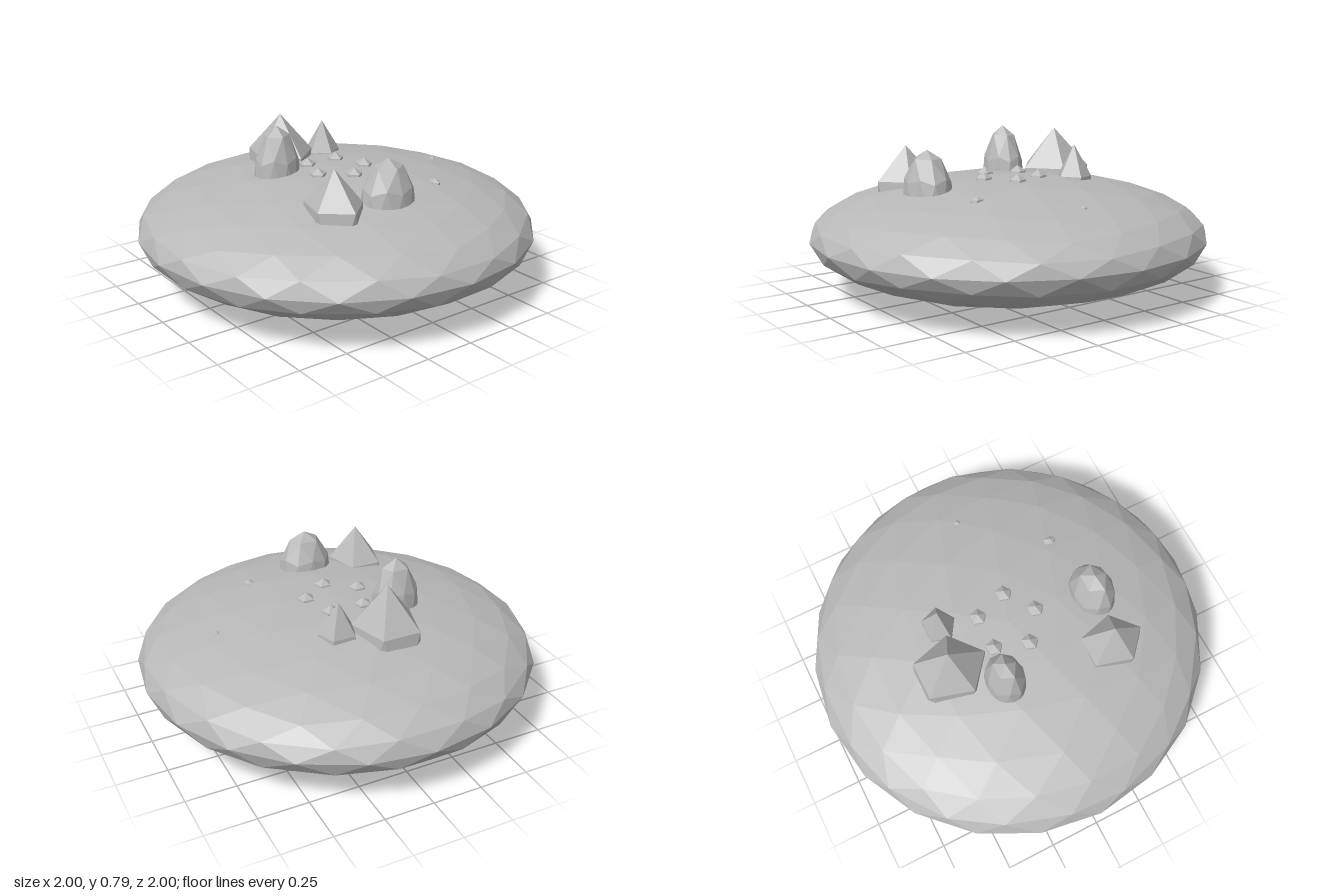
import * as THREE from 'three';

// Faceted sphere with a vertex on each pole; every level splits each triangle in four.
function icoSphere(levels) {
  const ring = (y, turn) => Array.from({ length: 5 }, (_, i) => {
    const a = (i * 72 + turn) * Math.PI / 180, r = Math.sqrt(0.8);
    return new THREE.Vector3(r * Math.cos(a), y, r * Math.sin(a));
  });
  const top = new THREE.Vector3(0, 1, 0), bottom = new THREE.Vector3(0, -1, 0);
  const upper = ring(Math.sqrt(0.2), 0), lower = ring(-Math.sqrt(0.2), 36);
  let faces = [];
  for (let i = 0; i < 5; i++) {
    const j = (i + 1) % 5;
    faces.push([top, upper[j], upper[i]], [upper[i], upper[j], lower[i]],
      [lower[i], upper[j], lower[j]], [bottom, lower[i], lower[j]]);
  }
  const mid = (a, b) => a.clone().add(b).normalize();
  for (let n = 0; n < levels; n++) {
    faces = faces.flatMap(([a, b, c]) => {
      const ab = mid(a, b), bc = mid(b, c), ca = mid(c, a);
      return [[a, ab, ca], [ab, b, bc], [ca, bc, c], [ab, bc, ca]];
    });
  }
  const geometry = new THREE.BufferGeometry().setFromPoints(faces.flat());
  geometry.computeVertexNormals();
  return geometry;
}

export function createModel() {
  const group = new THREE.Group();
  const stone = new THREE.MeshStandardMaterial({ color: 0xb8b8b8, flatShading: true });
  stone.name = 'grey stone';
  const crystal = icoSphere(0), boulder = icoSphere(1), mound = icoSphere(2);

  const add = (name, geometry, position, radii) => {
    const mesh = new THREE.Mesh(geometry, stone);
    mesh.name = name;
    mesh.position.set(...position);
    mesh.scale.set(...radii);
    group.add(mesh);
  };

  // Flattened ground
  add('ground', mound, [0, 0.285, 0], [1, 0.285, 1]);

  // Pointed rocks
  add('largePointedRock', crystal, [-0.36, 0.42, 0.09], [0.21, 0.36, 0.185]);
  add('smallPointedRock', crystal, [-0.31, 0.43, -0.14], [0.095, 0.29, 0.108]);
  add('frontPointedRock', crystal, [0.41, 0.41, 0.315], [0.18, 0.31, 0.15]);

  // Rounded boulders
  add('tallBoulder', boulder, [-0.145, 0.46, 0.255], [0.106, 0.33, 0.13]);
  add('wideBoulder', boulder, [0.452, 0.45, 0.035], [0.121, 0.28, 0.15]);

  // Circle of five pebbles
  for (let i = 0; i < 5; i++) {
    const a = i * Math.PI * 2 / 5;
    add('circlePebble', crystal, [0.15 * Math.cos(a), 0.55, 0.15 * Math.sin(a)], [0.048, 0.05, 0.048]);
  }

  // Stray pebbles
  add('strayPebble', crystal, [0.395, 0.52, -0.31], [0.038, 0.03, 0.027]);
  add('strayPebble', crystal, [0.025, 0.495, -0.625], [0.021, 0.02, 0.018]);

  return group;
}
